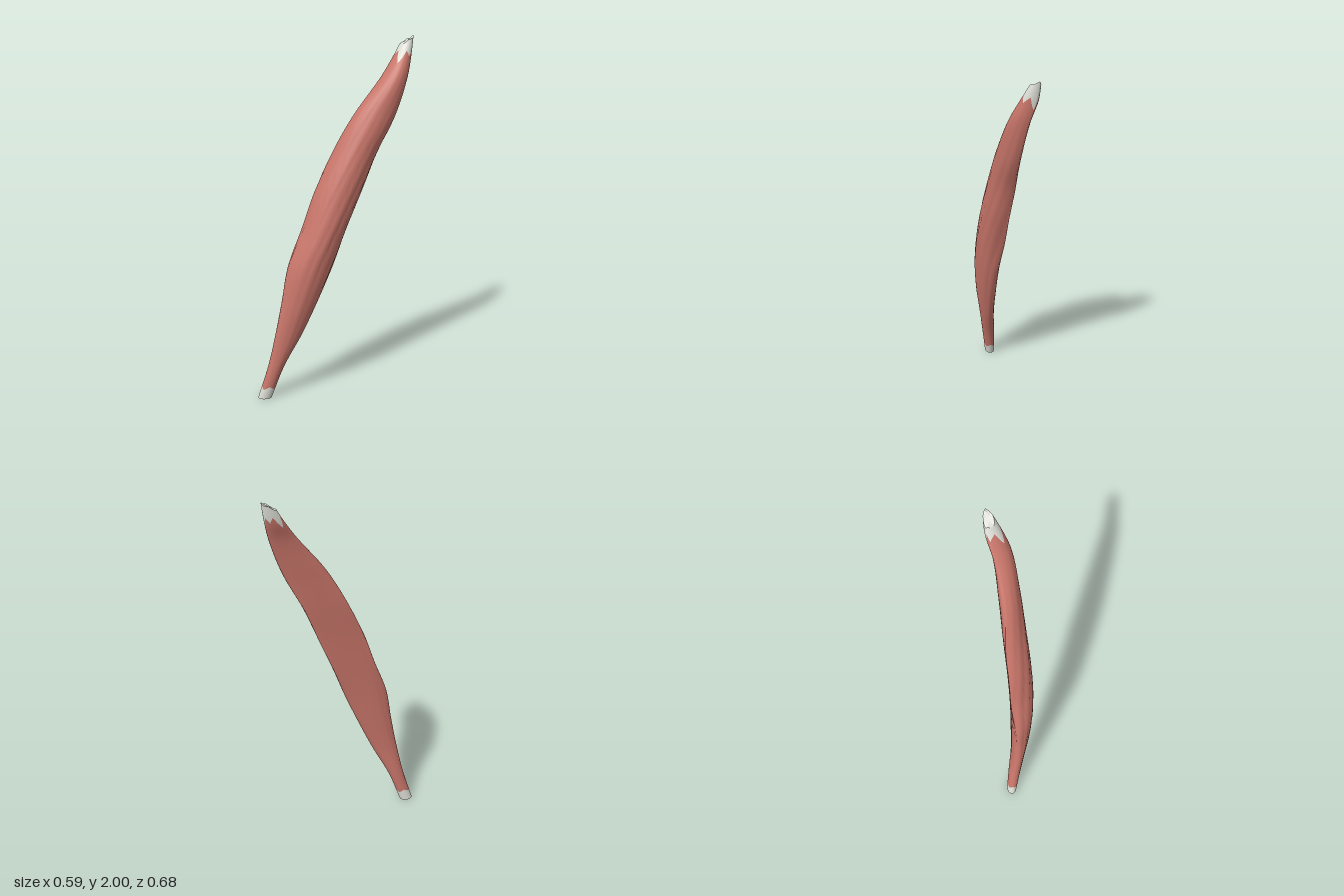
import * as THREE from 'three';

const SIDES = 72;

// Horizontal sections: height, [xMin, xMax, zMin, zMax, back, front], the last two
// measured along the diagonal u = (x + z) / sqrt 2, across the flat of the muscle
const SECTIONS = [
  [0.0, -0.297, -0.228, 0.270, 0.338, 0.000, 0.058],
  [0.2, -0.250, -0.155, 0.235, 0.305, 0.013, 0.085],
  [0.4, -0.205, -0.070, 0.180, 0.287, 0.030, 0.113],
  [0.6, -0.172, 0.000, 0.115, 0.270, 0.033, 0.142],
  [0.8, -0.142, 0.055, 0.045, 0.250, 0.033, 0.158],
  [1.0, -0.100, 0.105, -0.025, 0.190, 0.028, 0.160],
  [1.2, -0.058, 0.158, -0.085, 0.125, 0.018, 0.146],
  [1.4, -0.005, 0.210, -0.145, 0.040, 0.004, 0.124],
  [1.6, 0.075, 0.272, -0.212, -0.050, -0.008, 0.100],
  [1.8, 0.176, 0.295, -0.290, -0.165, -0.027, 0.065],
  [1.9, 0.203, 0.293, -0.322, -0.235, -0.055, 0.025],
  [2.0, 0.232, 0.284, -0.338, -0.300, -0.060, -0.022],
];

// Each section becomes two half ellipses, shallow at the back and deep in front:
// [centre u, centre v, half width, front depth, back depth]
function halves([, x0, x1, z0, z1, back, front]) {
  const hi = (x1 + z1) * Math.SQRT1_2, lo = (x0 + z0) * Math.SQRT1_2;
  const u = THREE.MathUtils.clamp(
    (hi * hi - front * front - lo * lo + back * back) / (2 * (hi - front - lo + back)), back, front);
  const width = Math.sqrt((hi - u) ** 2 - (front - u) ** 2);
  return [u, (x0 + x1 - z0 - z1) * Math.SQRT1_2 / 2, width, front - u, u - back];
}
const spline = new THREE.CubicInterpolant(SECTIONS.map(s => s[0]), SECTIONS.flatMap(halves), 5);

// Shallow lengthwise fibre grooves, strongest in the belly
function groove(t, y) {
  const w = Math.sin(Math.PI * Math.min(1, y / 2));
  const drift = t + 0.3 * Math.sin(y * 2.1);
  const broad = Math.sin(5 * drift + y * 1.3) + 0.6 * Math.sin(9 * drift - y * 2);
  const fine = Math.pow(Math.abs(Math.sin(7 * drift + 1.2 * Math.sin(y * 3))), 16);
  return 1 + w * (0.012 * broad - 0.03 * fine);
}

// Point on the skin at an angle and height
function skin(t, y) {
  const [u0, v0, width, front, back] = spline.evaluate(y);
  const g = groove(t, y), c = Math.cos(t);
  const u = u0 + g * c * (c > 0 ? front : back);
  const v = v0 + g * Math.sin(t) * width;
  return [(u + v) * Math.SQRT1_2, y, (u - v) * Math.SQRT1_2];
}

// Sleeve of skin between two height functions of the angle
function sleeve(lo, hi, rows) {
  const pos = [], idx = [];
  for (let j = 0; j <= rows; j++) {
    for (let i = 0; i < SIDES; i++) {
      const t = i / SIDES * Math.PI * 2;
      pos.push(...skin(t, THREE.MathUtils.lerp(lo(t), hi(t), j / rows)));
    }
  }
  for (let j = 0; j < rows; j++) {
    for (let i = 0; i < SIDES; i++) {
      const a = j * SIDES + i, b = j * SIDES + (i + 1) % SIDES;
      idx.push(a, b, a + SIDES, b, b + SIDES, a + SIDES);
    }
  }
  return finish(pos, idx);
}

// Fan closing the end of a sleeve
function endCap(height, up) {
  const pos = [0, 0, 0], idx = [];
  for (let i = 0; i < SIDES; i++) {
    const t = i / SIDES * Math.PI * 2;
    const p = skin(t, height(t));
    pos.push(...p);
    p.forEach((v, k) => { pos[k] += v / SIDES; });
    const a = 1 + i, b = 1 + (i + 1) % SIDES;
    idx.push(0, up ? a : b, up ? b : a);
  }
  return finish(pos, idx);
}

function finish(pos, idx) {
  const g = new THREE.BufferGeometry();
  g.setAttribute('position', new THREE.Float32BufferAttribute(pos, 3));
  g.setIndex(idx);
  g.computeVertexNormals();
  return g;
}

// Triangle wave from 0 to 1 for the ragged edges
const zigzag = (t, n) => Math.abs(((t * n / Math.PI / 2) % 1) * 2 - 1);

export function createModel() {
  const group = new THREE.Group();
  const red = new THREE.MeshStandardMaterial({ color: 0xc9766a });
  const pale = new THREE.MeshStandardMaterial({ color: 0xdfdfd8 });
  const add = (name, geometry, material) => {
    const mesh = new THREE.Mesh(geometry, material);
    mesh.name = name;
    group.add(mesh);
  };

  const bottom = () => 0;
  const lowEdge = t => 0.06 + 0.02 * zigzag(t, 4);
  const highEdge = t => 1.88 + 0.045 * zigzag(t, 6) + 0.015 * Math.sin(3 * t);
  const top = t => 1.97 + 0.02 * Math.sin(t) + 0.01 * zigzag(t, 4);

  // Fleshy belly
  add('muscleBelly', sleeve(lowEdge, highEdge, 110), red);
  // Tendons at both ends
  add('lowerTendon', sleeve(bottom, lowEdge, 5), pale);
  add('lowerTendonEnd', endCap(bottom, false), pale);
  add('upperTendon', sleeve(highEdge, top, 10), pale);
  add('upperTendonEnd', endCap(top, true), pale);
  return group;
}
